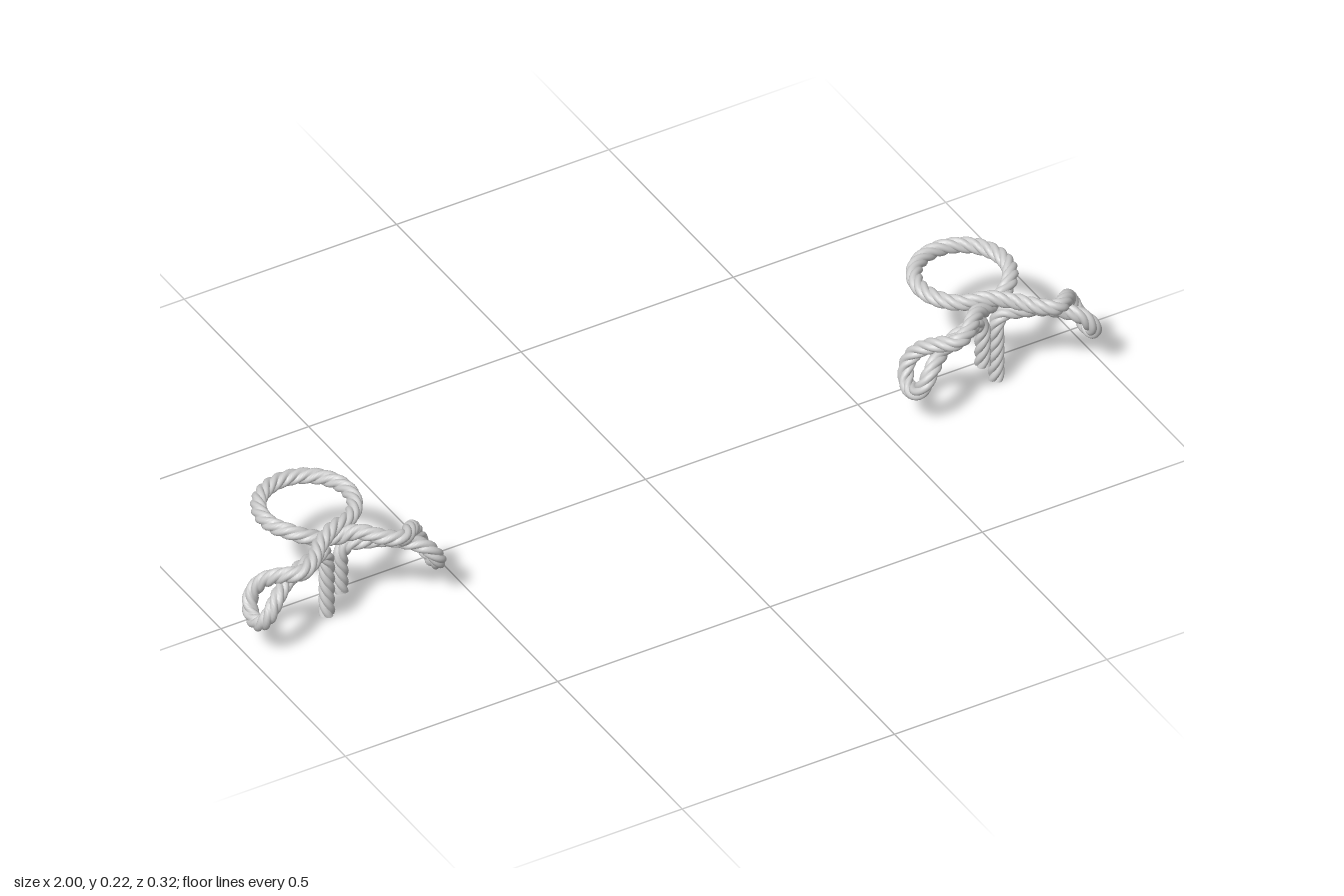
import * as THREE from 'three';

const STRANDS = 4, LOBE = 7, STEPS = 420;
const OFFSET = 0.008, RADIUS = 0.0092; // strand centre offset and strand radius
const PITCH = 0.107;                   // rope length of one full twist

// One side of the bow: from the stem foot out round the side loop and back to the knot
const SIDE = [
  [0.016, 0.1, 0.064], [0.017, 0.14, 0.064], [0.03, 0.164, 0.07],
  [0.06, 0.169, 0.085], [0.1, 0.167, 0.097], [0.142, 0.155, 0.112], [0.176, 0.142, 0.135],
  [0.197, 0.115, 0.142], [0.207, 0.09, 0.129], [0.209, 0.081, 0.105], [0.206, 0.092, 0.081],
  [0.196, 0.12, 0.068], [0.178, 0.152, 0.078], [0.151, 0.179, 0.112], [0.12, 0.188, 0.136],
  [0.088, 0.192, 0.124], [0.045, 0.198, 0.085],
];

function bowPath(mirror) {
  const side = (sx, foot) => [[0.016, foot, 0.064], ...SIDE].map(([x, y, z]) => [x * sx, y, z]);
  const points = [...side(1, 0), [0, 0.204, 0.058]];
  // round loop lying flat behind the knot
  for (let a = 30; a <= 330; a += 20) {
    const t = THREE.MathUtils.degToRad(a);
    points.push([-0.098 * Math.sin(t), a > 320 ? 0.192 : 0.2, -0.045 + 0.098 * Math.cos(t)]);
  }
  points.push([0, 0.182, 0.058], ...side(-1, 0.047).reverse());
  const curve = new THREE.CatmullRomCurve3(points.map(([x, y, z]) => new THREE.Vector3(x * mirror, y, z)));
  curve.arcLengthDivisions = 1500;
  return curve;
}

// Sweep a lobed, twisting section along the path; each strand is its own strip so grooves stay crisp
function ropeGeometry(curve, hand) {
  const frames = curve.computeFrenetFrames(STEPS, false);
  const length = curve.getLength();
  const positions = [], index = [];
  const centres = [];
  for (let i = 0; i <= STEPS; i++) centres.push(curve.getPointAt(i / STEPS));

  const rim = (i, s, j) => {
    const phi = (j / (LOBE - 1) - 0.5) * (2 * Math.PI / STRANDS);
    const r = OFFSET * Math.cos(phi) + Math.sqrt(RADIUS ** 2 - (OFFSET * Math.sin(phi)) ** 2);
    const angle = phi + 2 * Math.PI * (s / STRANDS + hand * (i / STEPS) * length / PITCH);
    return centres[i].clone()
      .addScaledVector(frames.normals[i], r * Math.cos(angle))
      .addScaledVector(frames.binormals[i], r * Math.sin(angle));
  };
  const add = (p) => positions.push(p.x, p.y, p.z) / 3 - 1;

  for (let s = 0; s < STRANDS; s++) {
    const base = positions.length / 3;
    for (let i = 0; i <= STEPS; i++) {
      for (let j = 0; j < LOBE; j++) add(rim(i, s, j));
    }
    for (let i = 0; i < STEPS; i++) {
      for (let j = 0; j < LOBE - 1; j++) {
        const a = base + i * LOBE + j, b = a + 1, c = a + LOBE, d = c + 1;
        index.push(a, b, c, b, d, c);
      }
    }
  }
  // flat cut ends
  for (const i of [0, STEPS]) {
    const centre = add(centres[i]);
    for (let s = 0; s < STRANDS; s++) {
      const ring = [];
      for (let j = 0; j < LOBE; j++) ring.push(add(rim(i, s, j)));
      for (let j = 0; j < LOBE - 1; j++) {
        if (i === 0) index.push(centre, ring[j + 1], ring[j]);
        else index.push(centre, ring[j], ring[j + 1]);
      }
    }
  }
  const geometry = new THREE.BufferGeometry();
  geometry.setAttribute('position', new THREE.Float32BufferAttribute(positions, 3));
  geometry.setIndex(index);
  geometry.computeVertexNormals();
  return geometry;
}

export function createModel() {
  const model = new THREE.Group();
  model.name = 'ropeBows';
  const material = new THREE.MeshStandardMaterial({ color: 0xcccccc });
  // mirrored pair of bows
  for (const sx of [1, -1]) {
    const bow = new THREE.Mesh(ropeGeometry(bowPath(sx), sx), material);
    bow.name = sx > 0 ? 'leftRopeBow' : 'rightRopeBow';
    bow.position.x = 0.772 * sx;
    model.add(bow);
  }
  return model;
}
